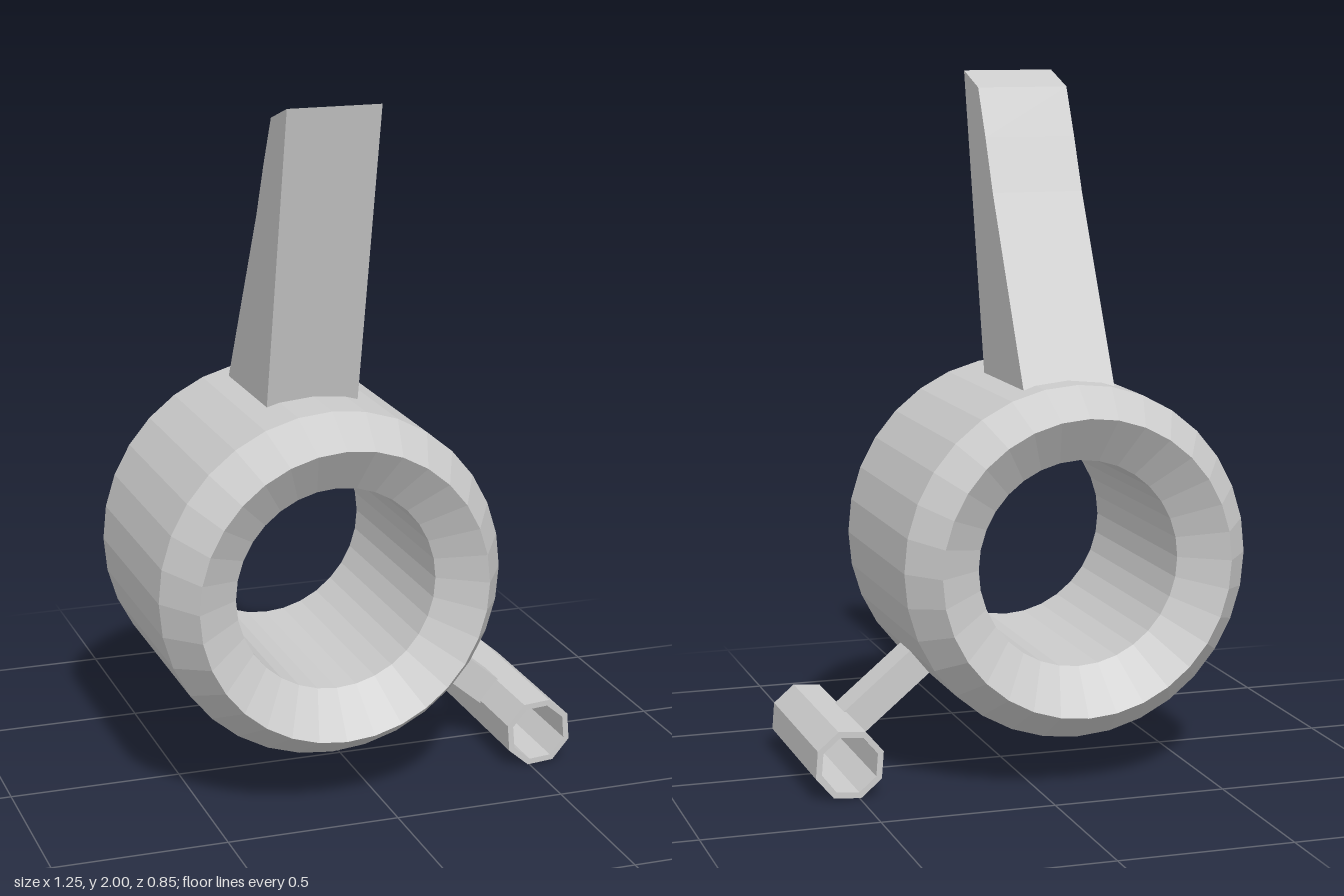
import * as THREE from 'three';

const material = new THREE.MeshStandardMaterial({ color: 0xcccccc, flatShading: true });

// Hollow ring lying along z, from a closed [radius, z] profile
function hollowRing(name, profile, sides, x, y, turn = 0) {
  const points = [...profile, profile[0]].map(([r, z]) => new THREE.Vector2(r, z));
  const geometry = new THREE.LatheGeometry(points, sides, turn).rotateX(Math.PI / 2);
  const mesh = new THREE.Mesh(geometry, material);
  mesh.name = name;
  mesh.position.set(x, y, 0);
  return mesh;
}

export function createModel() {
  const group = new THREE.Group();
  group.name = 'finnedRing';
  const ring = new THREE.Vector2(-0.125, 0.645);
  const tube = new THREE.Vector2(0.527, 0.101);

  // Main ring, chamfered outside and flared inside at both ends
  group.add(hollowRing('mainRing', [
    [0.425, -0.425], [0.505, -0.32], [0.505, 0.295],
    [0.425, 0.425], [0.295, 0.335], [0.295, -0.335],
  ], 32, ring.x, ring.y));

  // Fin leaning forward, its foot sunk into the ring
  const finShape = new THREE.Shape([
    [0.115, 1.09], [0.32, 2.0], [0.18, 1.955], [0.11, 1.815], [0.04, 1.66], [-0.265, 1.09],
  ].map(([z, y]) => new THREE.Vector2(z, y)));
  const finGeometry = new THREE.ExtrudeGeometry(finShape, { depth: 0.27, bevelEnabled: false });
  const fin = new THREE.Mesh(finGeometry.rotateY(-Math.PI / 2).translate(0.01, 0, 0), material);
  fin.name = 'fin';
  group.add(fin);

  // Arm from the ring to the side tube
  const direction = tube.clone().sub(ring);
  const start = 0.46;
  const end = direction.length() - 0.085;
  const middle = direction.clone().setLength((start + end) / 2).add(ring);
  const arm = new THREE.Mesh(new THREE.BoxGeometry(end - start, 0.09, 0.104), material);
  arm.name = 'arm';
  arm.position.set(middle.x, middle.y, 0);
  arm.rotation.z = direction.angle();
  group.add(arm);

  // Open eight-sided side tube
  group.add(hollowRing('sideTube', [
    [0.103, -0.272], [0.103, 0.268], [0.085, 0.268], [0.085, -0.272],
  ], 8, tube.x, tube.y, THREE.MathUtils.degToRad(27)));

  return group;
}
